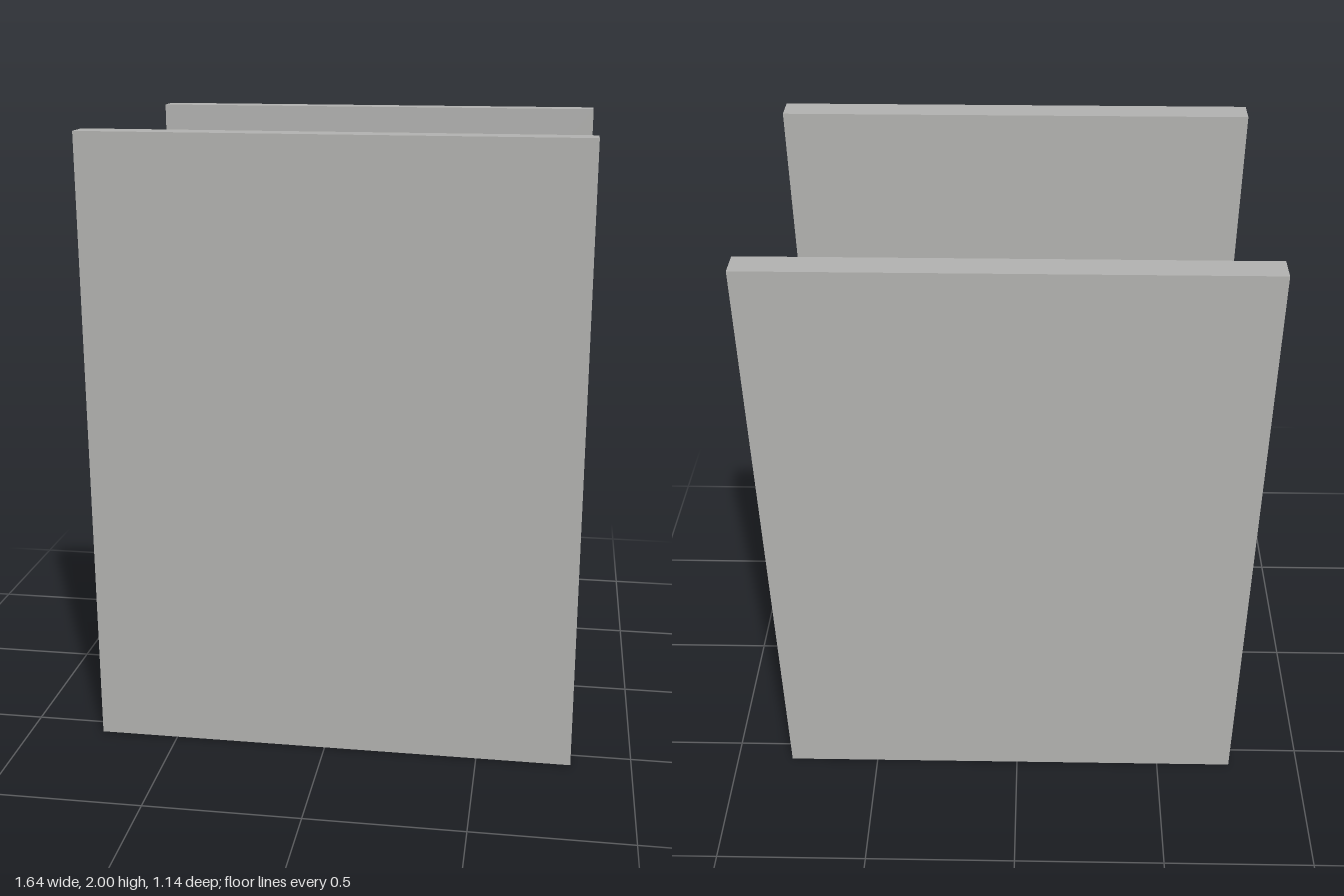
import * as THREE from 'three';

const mat = (name, color) => Object.assign(new THREE.MeshStandardMaterial({ color }), { name });
const wallGrey = mat('wall grey', 0xb4b4b2), dark = mat('charcoal', 0x45454a), metal = mat('metal', 0xb9b9b9);
const skin = mat('skin', 0xb8754f), red = mat('red', 0xc82222), white = mat('white', 0xe4e4e2);
const teal = mat('teal', 0x2f8080), hair = mat('hair', 0x3d3f44);

function add(parent, name, geo, material, x = 0, y = 0, z = 0) {
  const m = new THREE.Mesh(geo, material);
  m.name = name;
  m.position.set(x, y, z);
  parent.add(m);
  return m;
}
const box = (w, h, d) => new THREE.BoxGeometry(w, h, d);

// Round bar between two points
function rod(parent, name, a, b, r, material, sides = 12) {
  const p = new THREE.Vector3(...a), q = new THREE.Vector3(...b), d = q.clone().sub(p);
  const m = add(parent, name, new THREE.CylinderGeometry(r, r, d.length(), sides), material);
  m.position.copy(p).add(q).multiplyScalar(0.5);
  m.quaternion.setFromUnitVectors(new THREE.Vector3(0, 1, 0), d.normalize());
  return m;
}

// Smooth skin through rings [t, a, b, ra, rb]; axis y: a=x b=z, axis x: a=z b=y, axis z: a=y b=x
function loft(axis, rings, power = 1, seg = 28, sub = 4) {
  if (rings.at(-1)[0] < rings[0][0]) rings = [...rings].reverse();
  const fine = [], n = rings.length;
  for (let i = 0; i < n - 1; i++) for (let k = 0; k < sub; k++) {
    const u = k / sub, at = j => rings[Math.min(n - 1, Math.max(0, j))];
    fine.push(rings[i].map((p1, c) => {
      const p0 = at(i - 1)[c], p2 = at(i + 1)[c], p3 = at(i + 2)[c];
      return p1 + 0.5 * u * (p2 - p0 + u * (2 * p0 - 5 * p1 + 4 * p2 - p3 + u * (3 * (p1 - p2) + p3 - p0)));
    }));
  }
  fine.push(rings[n - 1]);
  const pos = [], idx = [];
  const put = (t, a, b) => pos.push(...(axis === 'y' ? [a, t, b] : axis === 'x' ? [t, b, a] : [b, a, t]));
  const pw = v => Math.sign(v) * Math.abs(v) ** power;
  for (const [t, a, b, ra, rb] of fine) for (let j = 0; j < seg; j++) {
    const th = j / seg * Math.PI * 2;
    put(t, a + ra * pw(Math.cos(th)), b + rb * pw(Math.sin(th)));
  }
  const last = (fine.length - 1) * seg, c0 = fine.length * seg;
  put(...fine[0]);
  put(...fine.at(-1));
  for (let j = 0; j < seg; j++) {
    const k = (j + 1) % seg;
    for (let i = 0; i < last; i += seg) idx.push(i + j, i + seg + j, i + k, i + k, i + seg + j, i + seg + k);
    idx.push(c0, j, k, c0 + 1, last + k, last + j);
  }
  const g = new THREE.BufferGeometry();
  g.setAttribute('position', new THREE.Float32BufferAttribute(pos, 3));
  g.setIndex(idx);
  g.computeVertexNormals();
  return g;
}

function dumbbell(parent, half) {
  const g = new THREE.Group();
  g.name = 'dumbbell';
  rod(g, 'dumbbellHandle', [0, 0, -half], [0, 0, half], 0.012, metal);
  for (const s of [-1, 1]) rod(g, 'dumbbellHead', [0, 0, s * (half - 0.03)], [0, 0, s * (half + 0.03)], 0.038, dark, 6);
  parent.add(g);
  return g;
}

function bench(z) {
  const g = new THREE.Group();
  g.name = 'bench';
  g.position.set(0.024, 0, z);
  add(g, 'benchSeat', box(0.866, 0.06, 0.275), dark, 0, 0.367);
  for (const s of [-1, 1]) {
    add(g, 'benchRail', box(0.74, 0.025, 0.022), metal, 0, 0.324, s * 0.095);
    add(g, 'benchCrossbar', box(0.022, 0.025, 0.19), metal, s * 0.359, 0.324);
    for (const t of [-1, 1]) rod(g, 'benchLeg', [s * 0.35, 0.325, t * 0.08], [s * 0.375, 0.003, t * 0.112], 0.012, metal);
  }
  return g;
}

// Gloved hand reaching along local +x, side tells where the thumb goes
function hand(side) {
  const g = new THREE.Group();
  g.name = side > 0 ? 'leftHand' : 'rightHand';
  add(g, 'gloveCuff', loft('x', [[-0.005, 0, 0, 0.043, 0.036], [0.03, 0, 0, 0.05, 0.042], [0.068, 0, 0, 0.044, 0.036]]), red);
  add(g, 'glove', loft('x', [[0.055, 0, 0, 0.036, 0.03], [0.1, 0.005 * side, 0, 0.055, 0.034],
    [0.15, 0.005 * side, -0.005, 0.06, 0.03], [0.185, 0, -0.012, 0.052, 0.02]]), red);
  for (let i = 0; i < 4; i++) {
    const z = (i - 1.5) * 0.028, len = [0.225, 0.245, 0.24, 0.215][i];
    const f = add(g, 'finger', new THREE.CapsuleGeometry(0.0105, len - 0.16, 4, 10), skin, (len + 0.16) / 2, -0.016, z * 1.15);
    f.rotation.set(0, -(i - 1.5) * 0.16, -Math.PI / 2 - 0.12, 'YXZ');
  }
  const thumb = add(g, 'thumb', new THREE.CapsuleGeometry(0.013, 0.05, 4, 10), skin, 0.14, -0.025, side * 0.062);
  thumb.rotation.set(0, -side * 0.5, -Math.PI / 2, 'YXZ');
  dumbbell(g, 0.093).position.set(0.12, -0.025, 0);
  return g;
}

function athlete() {
  const g = new THREE.Group(), X = 0.03;
  g.name = 'athlete';
  // Torso and neck
  add(g, 'tankTop', loft('y', [[0.87, X, -0.185, 0.135, 0.1], [0.92, X, -0.185, 0.135, 0.103], [1.02, X, -0.185, 0.14, 0.108],
    [1.12, X, -0.185, 0.155, 0.116], [1.2, X, -0.195, 0.155, 0.116], [1.27, X, -0.21, 0.145, 0.105], [1.32, X, -0.225, 0.11, 0.08],
    [1.335, X, -0.23, 0.085, 0.06]], 0.85), dark);
  add(g, 'neck', loft('y', [[1.26, X, -0.215, 0.085, 0.085], [1.33, X, -0.215, 0.075, 0.068], [1.36, X, -0.2, 0.056, 0.053],
    [1.44, X, -0.175, 0.05, 0.05]]), skin);
  // Head
  const H = 0.026;
  add(g, 'head', loft('y', [[1.352, H, -0.11, 0.018, 0.022], [1.365, H, -0.122, 0.04, 0.05], [1.4, H, -0.14, 0.06, 0.074],
    [1.45, H, -0.147, 0.069, 0.083], [1.5, H, -0.15, 0.072, 0.085], [1.55, H, -0.15, 0.06, 0.075]]), skin);
  add(g, 'hairTop', loft('y', [[1.515, H, -0.158, 0.074, 0.086], [1.54, H, -0.152, 0.08, 0.097], [1.565, H, -0.145, 0.073, 0.094],
    [1.58, H, -0.135, 0.05, 0.07], [1.585, H, -0.13, 0.02, 0.035]]), hair);
  add(g, 'hairBack', loft('y', [[1.41, H, -0.195, 0.046, 0.035], [1.44, H, -0.195, 0.066, 0.049], [1.49, H, -0.193, 0.076, 0.057],
    [1.545, H, -0.185, 0.074, 0.058]]), hair);
  add(g, 'nose', loft('y', [[1.417, H, -0.063, 0.014, 0.012], [1.427, H, -0.06, 0.014, 0.016], [1.475, H, -0.067, 0.007, 0.008]]), skin);
  add(g, 'mouth', box(0.04, 0.006, 0.008), red, H, 1.4, -0.068);
  for (const s of [-1, 1]) {
    add(g, 'ear', new THREE.SphereGeometry(1, 14, 10), skin, H + s * 0.071, 1.45, -0.152).scale.set(0.009, 0.025, 0.016);
    const eye = add(g, 'eye', box(0.02, 0.009, 0.008), white, H + s * 0.028, 1.467, -0.073);
    const pupil = add(g, 'pupil', box(0.008, 0.009, 0.009), hair, H + s * 0.028, 1.467, -0.0725);
    const brow = add(g, 'eyebrow', box(0.034, 0.008, 0.009), hair, H + s * 0.03, 1.484, -0.073);
    eye.rotation.y = pupil.rotation.y = brow.rotation.y = s * 0.4;
  }
  // Arms and gloved hands
  const Y = 1.29;
  add(g, 'leftArm', loft('x', [[0.1, -0.225, 1.25, 0.05, 0.05], [0.15, -0.235, 1.27, 0.08, 0.072], [0.2, -0.245, 1.285, 0.068, 0.062],
    [0.3, -0.255, Y, 0.046, 0.048], [0.37, -0.26, Y, 0.039, 0.04], [0.43, -0.262, Y, 0.04, 0.039], [0.5, -0.253, Y, 0.033, 0.033],
    [0.6, -0.235, Y, 0.025, 0.024]]), skin);
  add(g, 'rightArm', loft('x', [[-0.04, -0.22, 1.25, 0.05, 0.05], [-0.09, -0.22, 1.27, 0.08, 0.072], [-0.15, -0.212, 1.285, 0.068, 0.062],
    [-0.24, -0.21, Y, 0.048, 0.048], [-0.32, -0.205, Y, 0.041, 0.04], [-0.39, -0.195, Y, 0.04, 0.039], [-0.46, -0.178, Y, 0.034, 0.033],
    [-0.55, -0.158, Y, 0.025, 0.024]]), skin);
  const left = hand(1), right = hand(-1);
  left.position.set(0.57, Y, -0.24);
  left.rotation.y = -0.3;
  right.position.set(-0.525, Y, -0.168);
  right.rotation.y = Math.PI + 0.36;
  g.add(left, right);
  // Legs, shorts and shoes
  add(g, 'waistband', loft('y', [[0.86, X, -0.186, 0.136, 0.104], [0.88, X, -0.186, 0.141, 0.109], [0.905, X, -0.186, 0.139, 0.106]], 0.85), dark);
  add(g, 'shortsSeat', loft('y', [[0.69, X, -0.2, 0.1, 0.08], [0.76, X, -0.198, 0.15, 0.112], [0.88, X, -0.188, 0.138, 0.106]], 0.85), dark);
  for (const s of [-1, 1]) {
    const x = d => X + s * d;
    const leg = [[0.505, x(0.118), -0.204, 0.09, 0.106], [0.6, x(0.112), -0.2, 0.091, 0.113], [0.7, x(0.1), -0.198, 0.09, 0.114],
      [0.78, x(0.078), -0.196, 0.088, 0.113], [0.88, x(0.054), -0.188, 0.086, 0.104]];
    add(g, 'shortsLeg', loft('y', leg, 0.9), dark);
    add(g, 'shortsStripe', loft('y', leg.map(([t, a, , ra]) => [t, a + s * ra * 0.985, -0.165, 0.005, 0.019]), 0.4), red);
    add(g, 'leg', loft('y', [[0.13, x(0.145), -0.268, 0.03, 0.034], [0.2, x(0.142), -0.262, 0.032, 0.036], [0.28, x(0.14), -0.252, 0.045, 0.05],
      [0.36, x(0.136), -0.238, 0.053, 0.058], [0.44, x(0.13), -0.217, 0.052, 0.056], [0.56, x(0.12), -0.205, 0.062, 0.068]]), skin);
    add(g, 'shoe', loft('z', [[-0.342, 0.06, x(0.144), 0.03, 0.018], [-0.325, 0.08, x(0.145), 0.066, 0.036], [-0.28, 0.09, x(0.147), 0.078, 0.043],
      [-0.235, 0.086, x(0.152), 0.074, 0.044], [-0.19, 0.065, x(0.16), 0.053, 0.046], [-0.13, 0.048, x(0.168), 0.036, 0.05],
      [-0.08, 0.04, x(0.174), 0.026, 0.042], [-0.055, 0.034, x(0.176), 0.012, 0.022]], 0.8), white);
    add(g, 'shoeSole', loft('z', [[-0.345, 0.011, x(0.144), 0.009, 0.022], [-0.32, 0.011, x(0.145), 0.011, 0.039], [-0.22, 0.011, x(0.154), 0.011, 0.043],
      [-0.13, 0.011, x(0.168), 0.011, 0.052], [-0.08, 0.014, x(0.174), 0.011, 0.044], [-0.05, 0.022, x(0.176), 0.008, 0.02]], 0.6), dark);
    for (let i = 0; i < 3; i++) add(g, 'lace', box(0.05, 0.006, 0.009), dark, x(0.158 + i * 0.005), 0.132 - i * 0.022, -0.205 + i * 0.027).rotation.x = 0.6;
  }
  return g;
}

export function createModel() {
  const root = new THREE.Group();
  root.name = 'gymScene';
  for (const s of [-1, 1]) add(root, s > 0 ? 'frontWall' : 'backWall', box(1.56, 2, 0.085), wallGrey, 0.025, 1, s * 0.53);
  root.add(bench(0.303), bench(-0.372), athlete());
  // Equipment
  add(root, 'ball', new THREE.SphereGeometry(0.088, 32, 20), dark, -0.728, 1.28, -0.04);
  rod(root, 'resistanceBand', [-0.6, 1.272, -0.132], [0.62, 1.272, -0.202], 0.008, teal);
  const spare = dumbbell(root, 0.07);
  spare.position.set(-0.5, 0.034, -0.225);
  spare.rotation.y = Math.PI / 2 + 0.4;
  return root;
}
